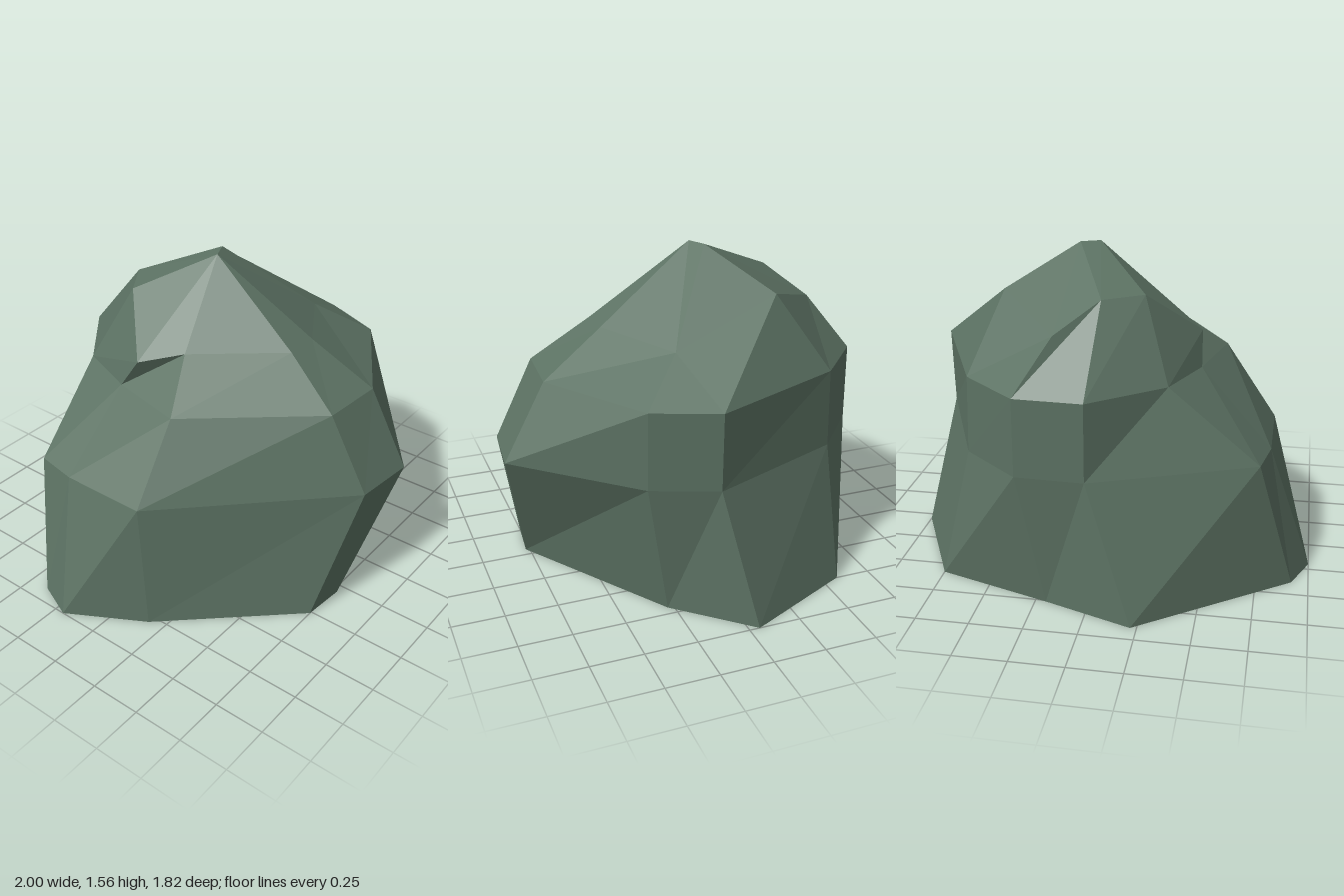
import * as THREE from 'three';

// Cross-sections from the ground up, each point [x, y, z]
const level = (y, pts) => pts.map(([x, z]) => [x, y, z]);

const ground = level(0, [
  [1, -0.05], [0.7, 0.28], [-0.05, 0.77], [-0.26, 0.75], [-0.79, 0.17],
  [-1, -0.2], [-0.92, -0.39], [-0.22, -0.91], [0.2, -0.76], [0.75, -0.58],
]);
const waist = level(0.65, [
  [0.87, 0.09], [0.75, 0.39], [0.26, 0.91], [-0.05, 0.88], [-0.79, 0.13],
  [-0.79, -0.3], [-0.75, -0.51], [0, -0.82], [0.32, -0.81], [0.6, -0.57],
]);
const shoulder = level(1.02, [
  [0.88, 0.09], [0.76, 0.39], [0.25, 0.71], [-0.07, 0.69], [-0.54, 0.13],
  [-0.45, -0.25], [-0.33, -0.55], [0, -0.82], [0.32, -0.81], [0.59, -0.57],
]);
// Uneven crown, with a small overhanging ledge at the sixth point
const crown = [
  [0.54, 1.19, 0.18], [0.54, 1.19, 0.18], [0.17, 1.22, 0.41], [0, 1.22, 0.41], [-0.3, 1.21, 0.02],
  [-0.44, 1.17, -0.15], [-0.2, 1.39, -0.38], [-0.02, 1.39, -0.5], [0.17, 1.26, -0.65], [0.46, 1.38, -0.34],
];
// The peak is a short ridge between two points
const peakA = [0.06, 1.56, -0.07];
const peakB = [0.15, 1.56, -0.11];
const peak = crown.map((_, i) => (i > 6 ? peakB : peakA));

function rockGeometry(rings) {
  const positions = [];
  const same = (a, b) => a.every((v, k) => v === b[k]);
  const triangle = (a, b, c) => {
    if (!same(a, b) && !same(b, c) && !same(a, c)) positions.push(...a, ...b, ...c);
  };
  // Sides
  for (let r = 0; r < rings.length - 1; r++) {
    const low = rings[r], high = rings[r + 1];
    for (let i = 0; i < low.length; i++) {
      const j = (i + 1) % low.length;
      triangle(low[j], low[i], high[i]);
      triangle(low[j], high[i], high[j]);
    }
  }
  // Underside
  const base = rings[0];
  for (let i = 1; i < base.length - 1; i++) triangle(base[0], base[i], base[i + 1]);

  const geometry = new THREE.BufferGeometry();
  geometry.setAttribute('position', new THREE.Float32BufferAttribute(positions, 3));
  geometry.computeVertexNormals();
  return geometry;
}

export function createModel() {
  const stone = new THREE.MeshStandardMaterial({ color: 0x5c7263, flatShading: true });
  stone.name = 'mossy stone';

  const boulder = new THREE.Mesh(rockGeometry([ground, waist, shoulder, crown, peak]), stone);
  boulder.name = 'boulder';

  const group = new THREE.Group();
  group.name = 'rock';
  group.add(boulder);
  return group;
}
